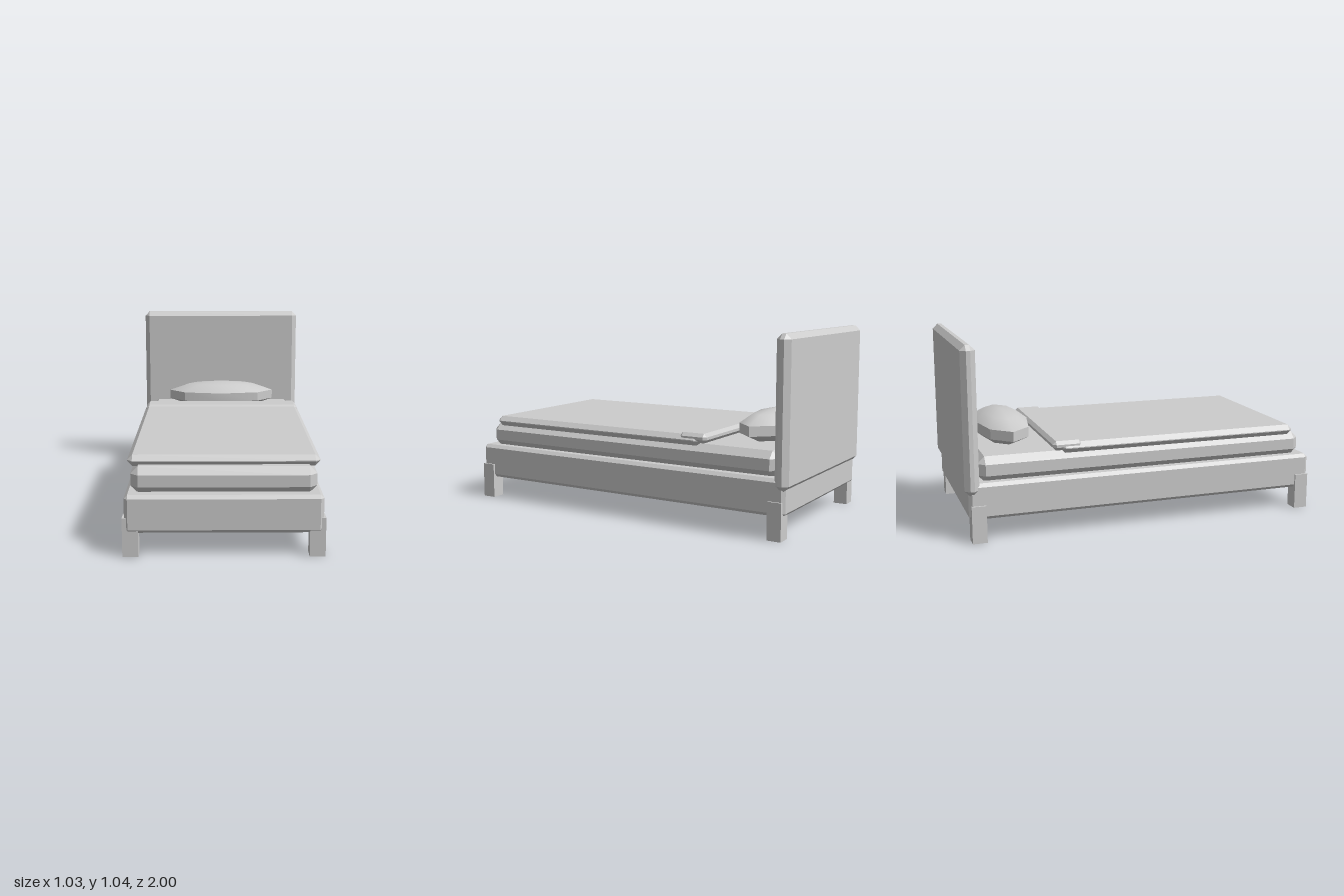
import * as THREE from 'three';
import { ConvexGeometry } from 'three/addons/geometries/ConvexGeometry.js';
import { toCreasedNormals } from 'three/addons/utils/BufferGeometryUtils.js';

// Box with chamfered edges, given by its extents and chamfer size
function chamferBox(halfX, y0, y1, z0, z1, c) {
  const hy = (y1 - y0) / 2, hz = (z1 - z0) / 2, points = [];
  for (const sx of [-1, 1]) for (const sy of [-1, 1]) for (const sz of [-1, 1]) {
    points.push(
      new THREE.Vector3(sx * halfX, sy * (hy - c), sz * (hz - c)),
      new THREE.Vector3(sx * (halfX - c), sy * hy, sz * (hz - c)),
      new THREE.Vector3(sx * (halfX - c), sy * (hy - c), sz * hz));
  }
  return new ConvexGeometry(points).translate(0, (y0 + y1) / 2, (z0 + z1) / 2);
}

export function createModel() {
  const group = new THREE.Group();
  group.name = 'bed';
  const grey = new THREE.MeshStandardMaterial({ color: 0xcccccc });
  grey.name = 'light grey';

  const add = (name, geometry) => {
    const mesh = new THREE.Mesh(geometry, grey);
    mesh.name = name;
    group.add(mesh);
    return mesh;
  };

  // Chamfered slabs: halfX, y0, y1, z0, z1, chamfer
  add('frame', chamferBox(0.494, 0.122, 0.316, -0.98, 0.997, 0.018));
  add('headboard', chamferBox(0.513, 0.255, 1.04, -1.0, -0.922, 0.028));
  add('mattress', chamferBox(0.464, 0.308, 0.445, -0.92, 0.953, 0.038));
  add('blanket', chamferBox(0.483, 0.436, 0.493, -0.48, 0.9, 0.026));
  add('blanketFold', chamferBox(0.475, 0.452, 0.503, -0.522, -0.36, 0.018));

  // Legs
  for (const side of [-1, 1]) {
    const label = side > 0 ? 'Left' : 'Right';
    for (const [end, z] of [['front', 0.952], ['back', -0.93]]) {
      add(end + label + 'Leg', new THREE.BoxGeometry(0.079, 0.2, 0.078))
        .position.set(side * 0.465, 0.1, z);
    }
  }

  // Pillow: squashed eight-sided ball with a crisp side band
  const pillow = new THREE.SphereGeometry(1, 8, 5).scale(0.355, 0.089, 0.157);
  add('pillow', toCreasedNormals(pillow, 0.6)).position.set(0, 0.514, -0.705);

  return group;
}
